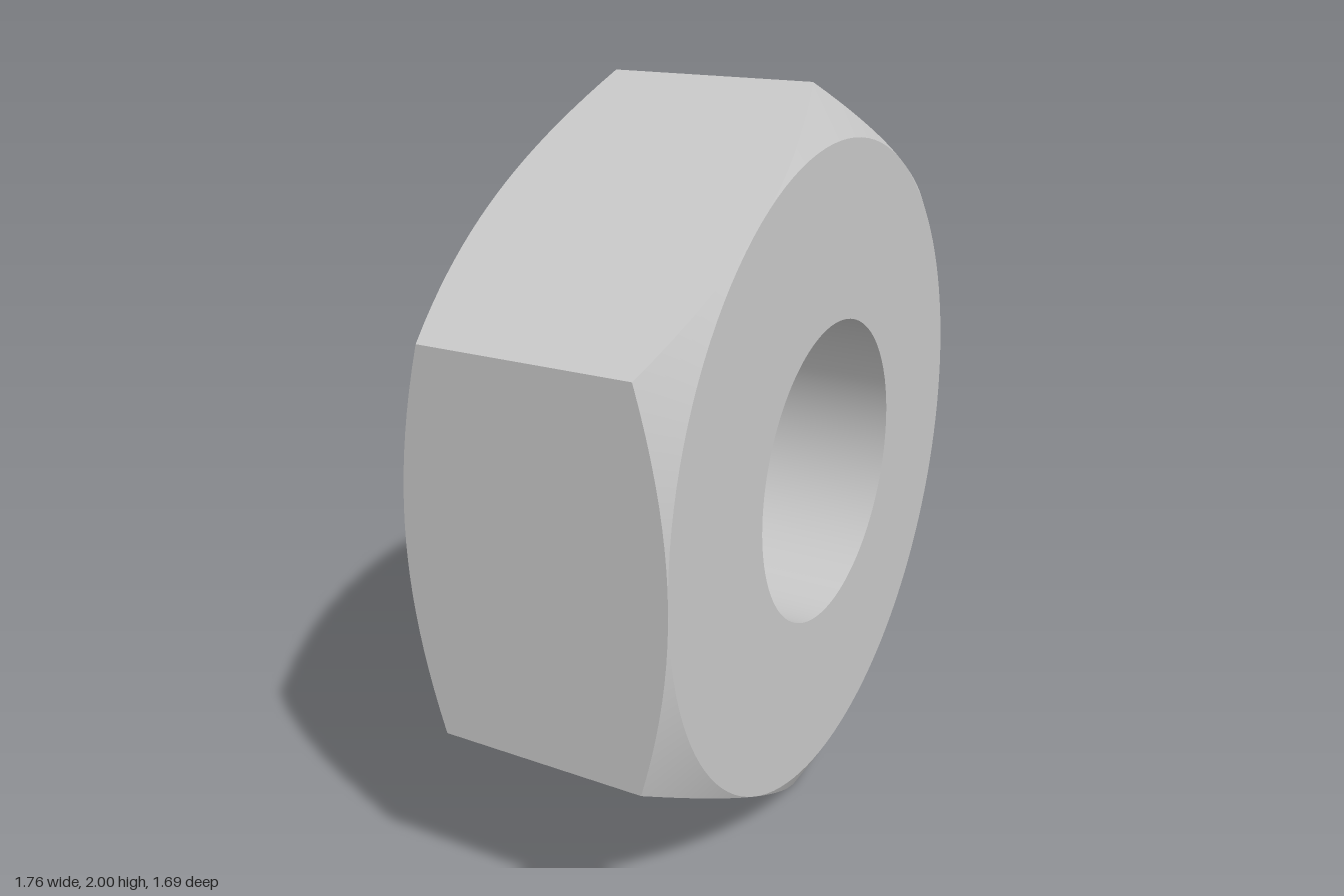
import * as THREE from 'three';

const HALF = 0.354;              // half thickness
const APOTHEM = 0.866;           // centre to flat
const BORE = 0.407;              // hole radius
const SLOPE = Math.tan(Math.PI / 6); // chamfer cone slope
const STEPS = 20;                // segments per flat

// Strip between two curves, with an exact normal rule
function band(from, to, steps, lower, upper, normal) {
  const pos = [], nor = [], idx = [];
  for (let i = 0; i <= steps; i++) {
    const a = from + (to - from) * i / steps;
    pos.push(...lower(a), ...upper(a));
    nor.push(...normal(a), ...normal(a));
    if (i < steps) {
      const k = i * 2;
      idx.push(k, k + 2, k + 3, k, k + 3, k + 1);
    }
  }
  const g = new THREE.BufferGeometry();
  g.setAttribute('position', new THREE.Float32BufferAttribute(pos, 3));
  g.setAttribute('normal', new THREE.Float32BufferAttribute(nor, 3));
  g.setIndex(idx);
  return g;
}

const polar = (r, a, z) => [r * Math.cos(a), r * Math.sin(a), z];

// Hexagon radius at an angle; the flats are centred on multiples of 60 degrees
function hexRadius(a) {
  const third = Math.PI / 3;
  return APOTHEM / Math.cos(a - Math.round(a / third) * third);
}

// Edge where the chamfer cone meets the hexagon, on the front (1) or back (-1)
function edge(a, side) {
  const r = hexRadius(a);
  return polar(r, a, side * (HALF - (r - APOTHEM) * SLOPE));
}

export function createModel() {
  const steel = new THREE.MeshStandardMaterial({ color: 0xc8c8c8 });
  steel.name = 'steel grey';
  const model = new THREE.Group();
  model.name = 'hexNut';
  const nut = new THREE.Group();
  nut.name = 'nutBody';
  model.add(nut);
  const add = (name, geometry, parent = nut) => {
    const mesh = new THREE.Mesh(geometry, steel);
    mesh.name = name;
    parent.add(mesh);
  };

  // Six flats with curved edges
  for (let i = 0; i < 6; i++) {
    const mid = i * Math.PI / 3;
    add('flat' + (i + 1), band(mid - Math.PI / 6, mid + Math.PI / 6, STEPS,
      a => edge(a, -1), a => edge(a, 1), () => polar(1, mid, 0)));
  }

  // Annular face and conical chamfer on both ends
  const face = new THREE.RingGeometry(BORE, APOTHEM, STEPS * 6);
  face.translate(0, 0, HALF);
  const start = Math.PI / 6;
  const chamfer = band(start, start + Math.PI * 2, STEPS * 6,
    a => edge(a, 1), a => polar(APOTHEM, a, HALF),
    a => polar(0.5, a, Math.cos(Math.PI / 6)));
  for (const side of ['front', 'back']) {
    const end = new THREE.Group();
    end.name = side + 'End';
    if (side === 'back') end.rotation.y = Math.PI;
    add(side + 'Face', face, end);
    add(side + 'Chamfer', chamfer, end);
    nut.add(end);
  }

  // Bore wall, facing inward
  const bore = new THREE.LatheGeometry(
    [new THREE.Vector2(BORE, HALF), new THREE.Vector2(BORE, -HALF)], STEPS * 6);
  bore.rotateX(Math.PI / 2);
  add('bore', bore);

  // Standing on one corner, turned to its left
  nut.rotation.y = 0.741;
  nut.position.y = 1;
  return model;
}
